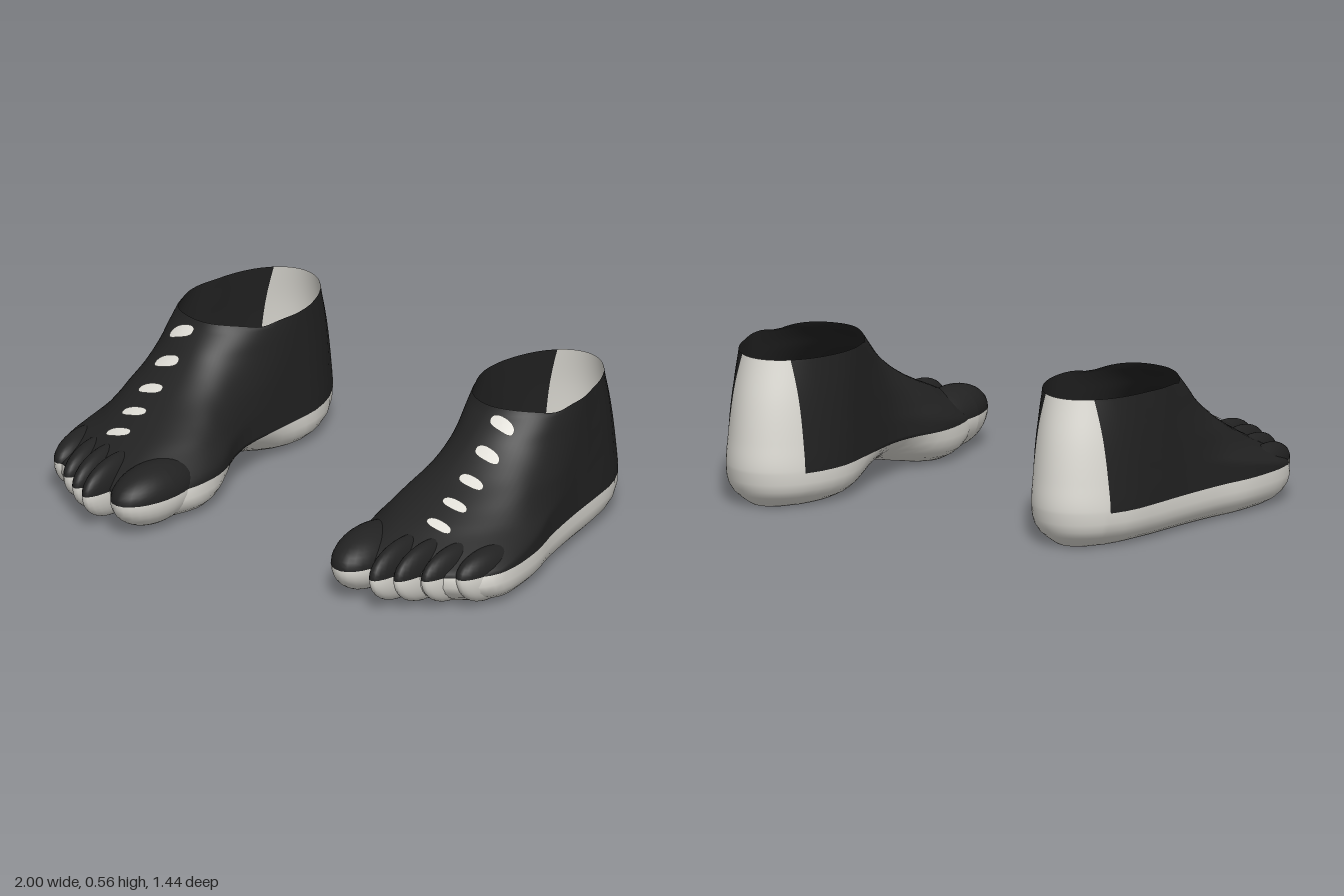
import * as THREE from 'three';

const white = new THREE.MeshStandardMaterial({ color: 0xdedcd5, side: THREE.DoubleSide });
white.name = 'offWhite';
const black = new THREE.MeshStandardMaterial({ color: 0x222222, side: THREE.DoubleSide });
black.name = 'charcoal';
const MATS = [white, black];

// Smooth interpolation through [position, value] pairs
function curve(pts) {
  const n = pts.length;
  const slope = i => {
    const a = pts[Math.max(0, i - 1)], b = pts[Math.min(n - 1, i + 1)];
    return (b[1] - a[1]) / (b[0] - a[0]);
  };
  return p => {
    if (p <= pts[0][0]) return pts[0][1];
    if (p >= pts[n - 1][0]) return pts[n - 1][1];
    let i = 0;
    while (p > pts[i + 1][0]) i++;
    const [x0, y0] = pts[i], [x1, y1] = pts[i + 1];
    const h = x1 - x0, t = (p - x0) / h, t2 = t * t, t3 = t2 * t;
    return y0 * (2 * t3 - 3 * t2 + 1) + y1 * (3 * t2 - 2 * t3)
      + h * (slope(i) * (t3 - 2 * t2 + t) + slope(i + 1) * (t3 - t2));
  };
}

// Plan edges along z
const innerEdge = curve([[-0.4, 0.41], [-0.1, 0.428], [0, 0.428], [0.1, 0.408], [0.2, 0.373], [0.3, 0.36], [0.45, 0.375], [0.7, 0.4]]);
const outerEdge = curve([[-0.4, 0.875], [-0.2, 0.905], [0, 0.945], [0.1, 0.975], [0.2, 0.993], [0.33, 1], [0.5, 0.97], [0.7, 0.94]]);
// Ends, front rounding, front tip and sole rounding by height
const backZ = curve([[0.005, -0.64], [0.025, -0.665], [0.06, -0.7], [0.14, -0.72], [0.25, -0.712], [0.4, -0.69], [0.56, -0.652]]);
const frontZ = curve([[0.005, 0.5], [0.06, 0.58], [0.14, 0.62], [0.17, 0.6], [0.2, 0.56], [0.25, 0.45], [0.3, 0.33], [0.35, 0.225], [0.4, 0.145], [0.45, 0.08], [0.5, 0.028], [0.56, -0.04]]);
const frontRound = curve([[0.005, 0.22], [0.14, 0.25], [0.2, 0.48], [0.25, 0.58], [0.35, 0.45], [0.56, 0.3]]);
const tipX = curve([[0.14, 0.55], [0.25, 0.58], [0.35, 0.62], [0.56, 0.65]]);
const inset = curve([[0.005, 0.07], [0.025, 0.035], [0.05, 0.013], [0.09, 0], [0.14, 0]]);

const round = s => {
  const c = Math.min(1, Math.max(0, s));
  return Math.sqrt(1 - (1 - c) ** 2);
};

// Inner and outer x of the foot at depth z and height y
function span(z, y) {
  const up = Math.max(0, y - 0.14) / 0.42;
  const a = innerEdge(z) + 0.012 * up, b = outerEdge(z) - 0.02 * up;
  const front = round((frontZ(y) - z) / frontRound(y));
  const back = round((z - backZ(y)) / 0.36);
  const mid = THREE.MathUtils.lerp(tipX(y), (a + b) / 2, front);
  const half = ((b - a) / 2 - inset(y)) * front * back;
  return [mid - half, mid + half];
}

// Height of the instep above a plan point
function topY(x, z) {
  let lo = 0.14, hi = 0.56;
  for (let i = 0; i < 30; i++) {
    const y = (lo + hi) / 2, [a, b] = span(z, y);
    if (z < frontZ(y) && x > a && x < b) lo = y; else hi = y;
  }
  return lo;
}

function grouped(geo, whiteIdx, blackIdx) {
  geo.setIndex([...whiteIdx, ...blackIdx]);
  geo.clearGroups();
  geo.addGroup(0, whiteIdx.length, 0);
  geo.addGroup(whiteIdx.length, blackIdx.length, 1);
  return geo;
}

// Open-topped shoe shell from stacked horizontal outlines
function bodyGeometry() {
  const N = 40, K = 10, M = 2 * N, heelZ = -0.61;
  const rows = [0.005, 0.012, 0.025, 0.045, 0.07, 0.1];
  for (let j = 0; j <= 36; j++) rows.push(0.14 + 0.42 * j / 36);
  const pos = [], whiteIdx = [], blackIdx = [];
  rows.forEach((y, j) => {
    const zb = backZ(y), zf = frontZ(y);
    for (let k = 0; k < M; k++) {
      const isInner = k > N, i = isInner ? M - k : k;
      const z = i <= K ? zb + (heelZ - zb) * (i / K) ** 2
        : heelZ + (zf - heelZ) * Math.sin((i - K) / (N - K) * Math.PI / 2);
      const [a, b] = span(z, y);
      // Raised arch on the inner side, slight dip in the rim
      const arch = isInner ? Math.exp(-(((z + 0.02) / 0.2) ** 2)) * Math.max(0, 1 - (y - 0.005) / 0.135) : 0;
      const rim = j === rows.length - 1 ? 0.008 * Math.exp(-(((z + 0.04) / 0.06) ** 2)) - 0.012 * Math.exp(-(((z + 0.17) / 0.05) ** 2)) : 0;
      pos.push((isInner ? a : b) + 0.09 * arch, y + 0.045 * arch + rim, z);
    }
  });
  for (let j = 0; j < rows.length - 1; j++) {
    for (let k = 0; k < M; k++) {
      const a = j * M + k, b = j * M + (k + 1) % M, c = a + M, d = b + M;
      const isWhite = rows[j] < 0.139 || k < K || k >= M - K;
      (isWhite ? whiteIdx : blackIdx).push(a, c, b, b, c, d);
    }
  }
  // Underside joins the two edges of the lowest outline
  for (let i = 0; i < N; i++) {
    const o = i, p = i + 1, n = (M - i) % M, m = M - i - 1;
    if (i > 0) whiteIdx.push(o, p, n);
    if (i < N - 1) whiteIdx.push(p, m, n);
  }
  const geo = new THREE.BufferGeometry();
  geo.setAttribute('position', new THREE.Float32BufferAttribute(pos, 3));
  grouped(geo, whiteIdx, blackIdx);
  geo.computeVertexNormals();
  return geo;
}

// Toe: ellipsoid, dark above and white below its widest line
function toeGeometry([x, z, rx, rz, rTop, yaw]) {
  const geo = new THREE.SphereGeometry(1, 28, 20);
  const p = geo.attributes.position, whiteIdx = [], blackIdx = [];
  const idx = [...geo.index.array];
  for (let i = 0; i < idx.length; i += 3) {
    const t = idx.slice(i, i + 3);
    const y = t.reduce((sum, v) => sum + p.getY(v), 0);
    (y > 0 ? blackIdx : whiteIdx).push(...t);
  }
  for (let i = 0; i < p.count; i++) {
    const y = p.getY(i);
    p.setXYZ(i, p.getX(i) * rx, y * (y > 0 ? rTop : 0.128), p.getZ(i) * rz);
  }
  grouped(geo, whiteIdx, blackIdx);
  geo.computeVertexNormals();
  return geo.rotateY(yaw).translate(x, 0.14, z);
}

// Lace: thin rounded patch lying on the instep
function laceGeometry(z0) {
  const geo = new THREE.RingGeometry(0.001, 1, 28, 4);
  const p = geo.attributes.position;
  const soft = v => Math.sign(v) * Math.abs(v) ** 0.8;
  for (let i = 0; i < p.count; i++) {
    const x = 0.72 + 0.052 * soft(p.getX(i)), z = z0 - 0.02 * soft(p.getY(i));
    p.setXYZ(i, x + 0.002, topY(x, z) + 0.006, z + 0.004);
  }
  geo.computeVertexNormals();
  return geo;
}

// Mirror a geometry across x and restore its winding
function mirrored(geo) {
  const g = geo.clone().scale(-1, 1, 1), idx = g.index;
  for (let i = 0; i < idx.count; i += 3) {
    const t = idx.getX(i + 1);
    idx.setX(i + 1, idx.getX(i + 2));
    idx.setX(i + 2, t);
  }
  g.computeVertexNormals();
  return g;
}

export function createModel() {
  const toes = [ // x, z, half width, half length, top height, yaw
    [0.487, 0.5, 0.11, 0.21, 0.1, 0.08],
    [0.647, 0.515, 0.055, 0.2, 0.1, 0],
    [0.73, 0.475, 0.052, 0.195, 0.095, -0.04],
    [0.815, 0.425, 0.052, 0.185, 0.085, -0.06],
    [0.915, 0.36, 0.06, 0.165, 0.075, -0.08],
  ];
  const parts = [['shoeBody', bodyGeometry(), MATS]];
  toes.forEach((t, i) => parts.push([`toe${i + 1}`, toeGeometry(t), MATS]));
  [-0.008, 0.085, 0.187, 0.29, 0.39].forEach((z, i) => parts.push([`lace${i + 1}`, laceGeometry(z), white]));

  const model = new THREE.Group();
  model.name = 'pairOfShoes';
  for (const side of ['left', 'right']) {
    const shoe = new THREE.Group();
    shoe.name = `${side}Shoe`;
    for (const [name, geo, mat] of parts) {
      const mesh = new THREE.Mesh(side === 'left' ? geo : mirrored(geo), mat);
      mesh.name = name;
      shoe.add(mesh);
    }
    model.add(shoe);
  }
  return model;
}
